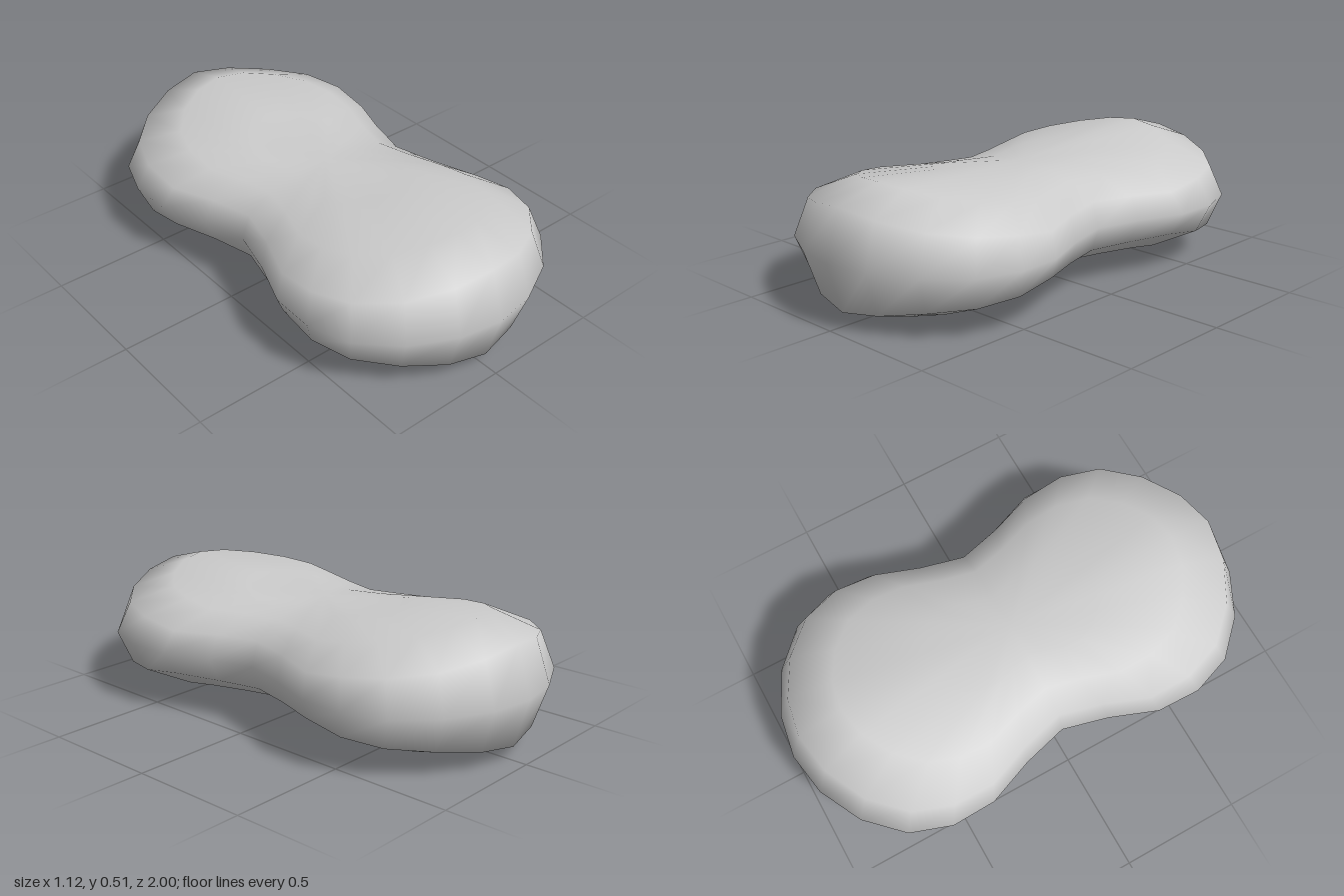
import * as THREE from 'three';

// One quarter of the plan outline, from the front tip [x, z] to the waist
const QUARTER = [[0, 1], [0.18, 0.97], [0.36, 0.88], [0.5, 0.74], [0.56, 0.57], [0.555, 0.385], [0.48, 0.19], [0.43, 0]];
// Half height along the centre line by |z|
const CREST = [[0, 0.202], [0.25, 0.217], [0.5, 0.238], [0.75, 0.257], [0.94, 0.202], [1, 0]];
// Fraction of the half height by |x| / half width
const SECTION = [[0, 1], [0.335, 0.953], [0.67, 0.805], [0.92, 0.49], [1, 0]];
const WIDTH = QUARTER.map(([x, z]) => [z, x]).reverse();
// Plan scale [x, z] of each ring, from the rim inwards
const RINGS = [[1, 1], [0.92, 0.94], [0.67, 0.75], [0.335, 0.38]];
const MID = 0.259;

function lerpTable(table, t) {
  for (let i = 1; i < table.length; i++) {
    const [a, va] = table[i - 1], [b, vb] = table[i];
    if (t <= b) return va + (vb - va) * (t - a) / (b - a);
  }
  return table[table.length - 1][1];
}

function height(x, z) {
  const w = lerpTable(WIDTH, Math.abs(z));
  const ratio = w > 0 ? Math.min(1, Math.abs(x) / w) : 0;
  return lerpTable(CREST, Math.abs(z)) * lerpTable(SECTION, ratio);
}

// Mirror the quarter into a closed outline
function makeOutline() {
  const points = [];
  for (let k = 0; k < 28; k++) {
    const a = k % 14;
    const [x, z] = QUARTER[a <= 7 ? a : 14 - a];
    points.push([k <= 14 ? x : -x, k <= 7 || k >= 21 ? z : -z]);
  }
  return points;
}

function makeBodyGeometry() {
  const outline = makeOutline();
  const n = outline.length;
  const positions = [], index = [];
  // Rings from the underside, over the rim, to the top
  for (let r = -3; r <= 3; r++) {
    const [sx, sz] = RINGS[Math.abs(r)];
    for (const [px, pz] of outline) {
      const x = px * sx, z = pz * sz;
      positions.push(x, MID + (r === 0 ? 0 : Math.sign(r) * height(x, z)), z);
    }
  }
  const bottom = 7 * n, top = bottom + 1;
  positions.push(0, MID - height(0, 0), 0, 0, MID + height(0, 0), 0);

  for (let k = 0; k < n; k++) {
    const next = (k + 1) % n;
    for (let r = 0; r < 6; r++) {
      const a = r * n + k, b = r * n + next;
      index.push(a, b, b + n, a, b + n, a + n);
    }
    index.push(bottom, next, k, top, 6 * n + k, 6 * n + next);
  }
  const geometry = new THREE.BufferGeometry();
  geometry.setAttribute('position', new THREE.Float32BufferAttribute(positions, 3));
  geometry.setIndex(index);
  geometry.computeVertexNormals();
  return geometry;
}

export function createModel() {
  const group = new THREE.Group();
  group.name = 'peanutShape';
  const body = new THREE.Mesh(makeBodyGeometry(), new THREE.MeshStandardMaterial({ color: 0xcccccc }));
  body.name = 'body';
  group.add(body);
  return group;
}
